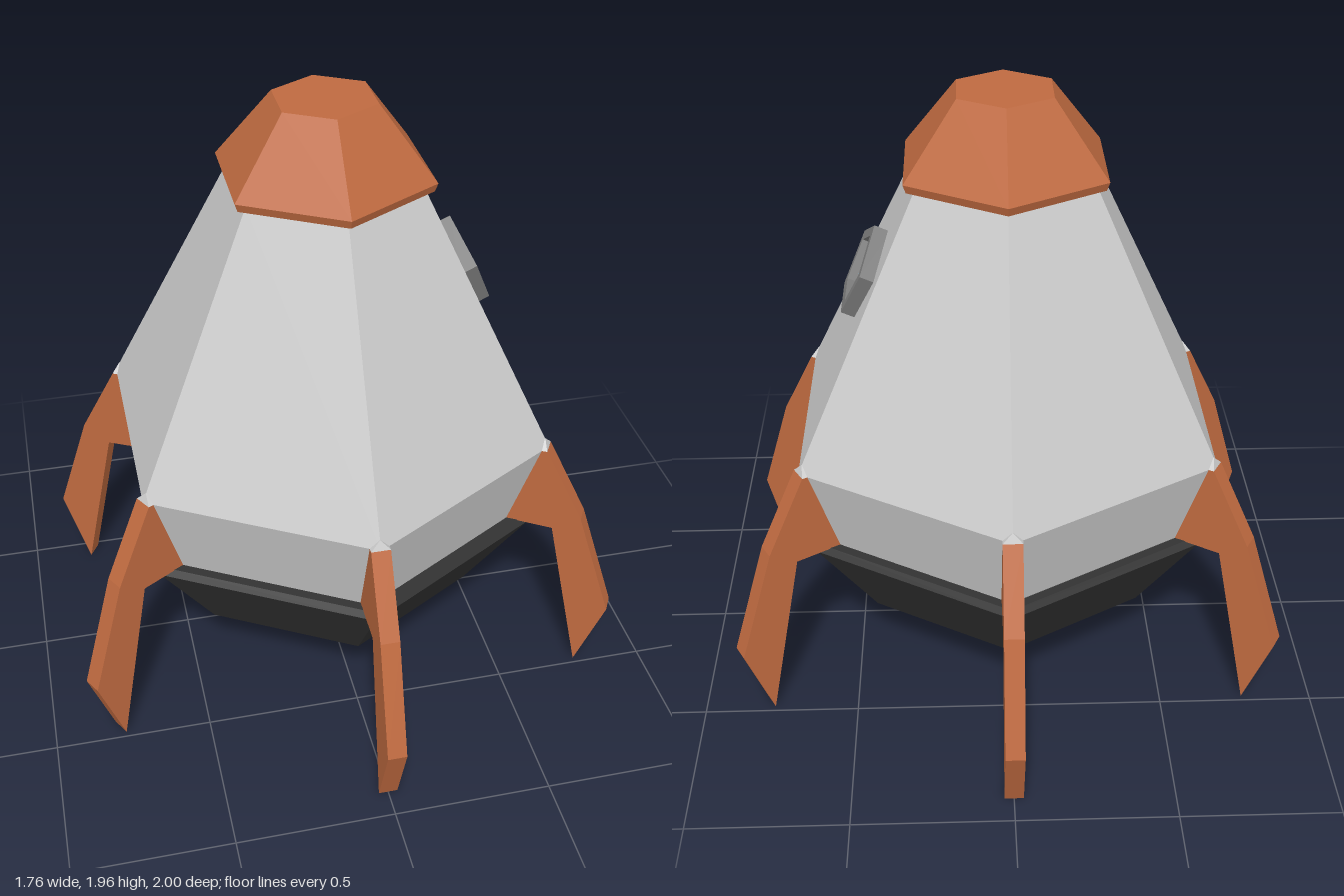
import * as THREE from 'three';
import { ConvexGeometry } from 'three/addons/geometries/ConvexGeometry.js';

const mat = (color) => new THREE.MeshStandardMaterial({ color, flatShading: true });
const grey = mat(0xcccccc), copper = mat(0xbf6a40), dark = mat(0x333333);
const frameGrey = mat(0x808080), glass = mat(0x77ccee);
const vec2 = (pts) => pts.map(([x, y]) => new THREE.Vector2(x, y));

function add(parent, name, geometry, material) {
  const mesh = new THREE.Mesh(geometry, material);
  mesh.name = name;
  parent.add(mesh);
  return mesh;
}

// Six-sided body of revolution, with a corner facing the front
const hexLathe = (pts) => new THREE.LatheGeometry(vec2(pts), 6);

// Pentagon outline, point up, slightly squashed
const pentagon = (r) => vec2([0, 1, 2, 3, 4].map((i) => {
  const a = Math.PI / 2 + (i * Math.PI * 2) / 5;
  return [r * Math.cos(a), 0.87 * r * Math.sin(a)];
}));

function createWindow() {
  const group = new THREE.Group();
  group.name = 'window';
  const ring = new THREE.Shape(pentagon(0.172));
  ring.holes.push(new THREE.Path(pentagon(0.128)));
  add(group, 'windowFrame', new THREE.ExtrudeGeometry(ring, { depth: 0.056, bevelEnabled: false }), frameGrey)
    .position.z = -0.01;
  add(group, 'windowPane', new THREE.ShapeGeometry(new THREE.Shape(pentagon(0.135))), glass)
    .position.z = 0.018;
  // Lie on the sloping hull side that faces +x
  const up = new THREE.Vector3(-0.411, 0.911, 0).normalize();
  const out = new THREE.Vector3(up.y, -up.x, 0);
  const across = new THREE.Vector3().crossVectors(up, out);
  group.setRotationFromMatrix(new THREE.Matrix4().makeBasis(across, up, out));
  group.position.set(0.42, 1.364, 0);
  return group;
}

function createLegs() {
  const legs = new THREE.Group();
  legs.name = 'legs';
  const t = 0.06;
  // Leg outline: distance from the axis, height
  const outline = new THREE.Shape(vec2([
    [0.6, 0.56], [0.79, 0.553], [0.91, 0], [1, 0.25], [0.88, 0.61], [0.75, 0.855], [0.66, 0.855],
  ]));
  const legGeometry = new THREE.ExtrudeGeometry(outline, { depth: t, bevelEnabled: false });
  legGeometry.translate(0, 0, -t / 2);
  // Small hull-coloured gusset above each leg
  const gussetGeometry = new ConvexGeometry([
    [0.75, 0.855, t / 2], [0.75, 0.855, -t / 2], [0.7, 0.855, t / 2], [0.7, 0.855, -t / 2], [0.736, 0.885, 0],
  ].map((p) => new THREE.Vector3(...p)));
  for (let i = 0; i < 6; i++) {
    const leg = new THREE.Group();
    leg.name = 'legAssembly';
    add(leg, 'leg', legGeometry, copper);
    add(leg, 'legGusset', gussetGeometry, grey);
    leg.rotation.y = Math.PI / 2 + (i * Math.PI) / 3;
    legs.add(leg);
  }
  return legs;
}

export function createModel() {
  const model = new THREE.Group();
  model.name = 'rocketCapsule';

  // Tapering hull
  add(model, 'hull', hexLathe([[0.652, 0.55], [0.75, 0.855], [0.31, 1.705]]), grey);

  // Nose cap with a thin chamfered rim
  add(model, 'noseCap', hexLathe([[0, 1.7], [0.34, 1.7], [0.35, 1.727], [0.165, 1.955], [0, 1.955]]), copper);

  // Engine base with a recessed underside
  add(model, 'engineBase', hexLathe([
    [0, 0.34], [0.455, 0.34], [0.47, 0.24], [0.502, 0.24], [0.707, 0.54], [0.69, 0.56], [0, 0.56],
  ]), dark);

  model.add(createLegs(), createWindow());
  return model;
}
